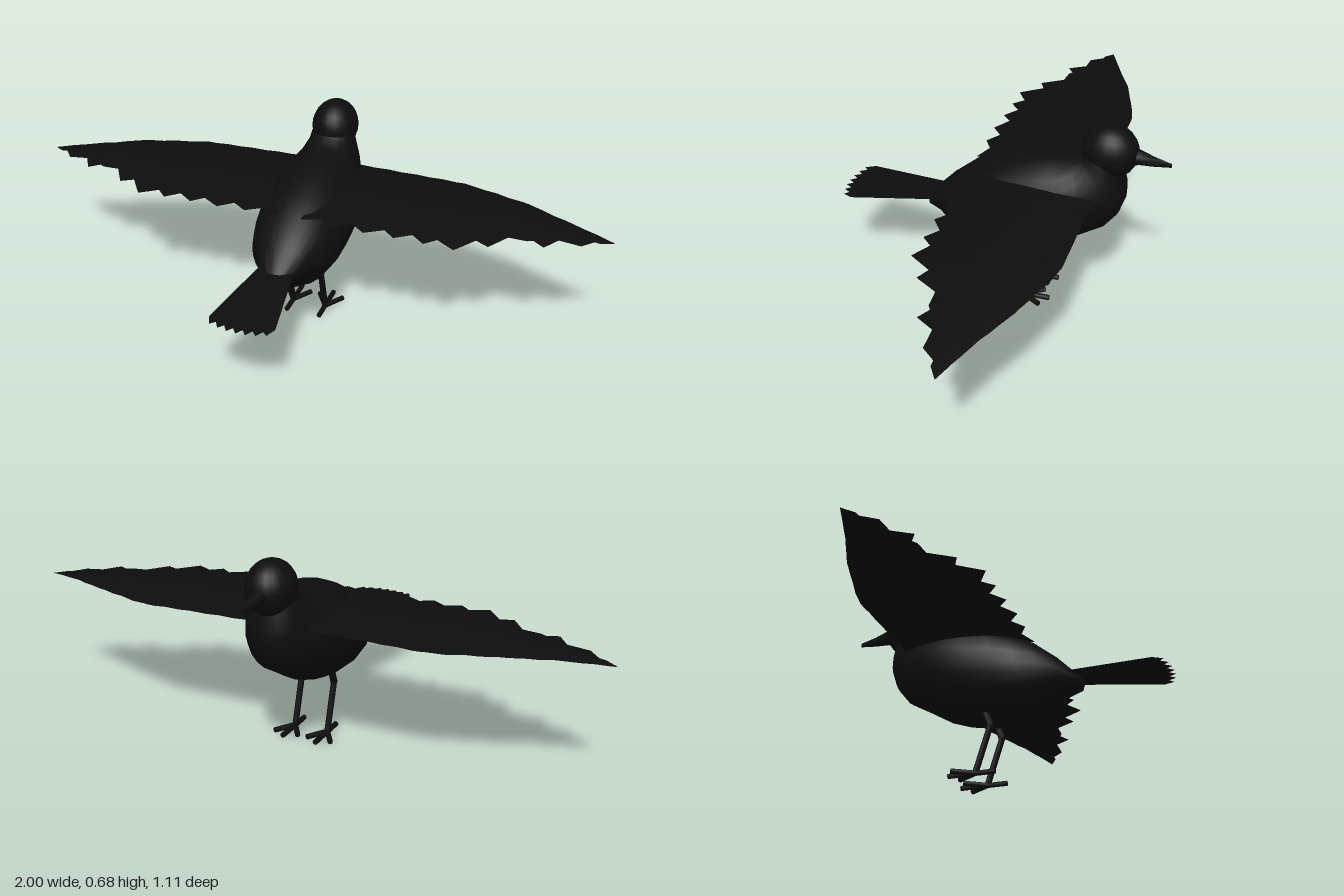
import * as THREE from 'three';
import { toCreasedNormals } from 'three/addons/utils/BufferGeometryUtils.js';

const plumage = new THREE.MeshStandardMaterial({ color: 0x0d0d0d });
plumage.name = 'black plumage';
const tailPlumage = plumage.clone();
tailPlumage.side = THREE.DoubleSide;

function part(name, geometry, material = plumage) {
  const mesh = new THREE.Mesh(geometry, material);
  mesh.name = name;
  return mesh;
}

// Skin between closed loops of [x, y, z] points
function loft(rings, crease) {
  const n = rings[0].length;
  const index = [];
  for (let i = 0; i < rings.length - 1; i++) {
    for (let j = 0; j < n; j++) {
      const k = (j + 1) % n;
      const a = i * n + j, b = i * n + k, c = a + n, d = b + n;
      index.push(a, b, c, b, d, c);
    }
  }
  const geo = new THREE.BufferGeometry();
  geo.setAttribute('position', new THREE.Float32BufferAttribute(rings.flat(2), 3));
  geo.setIndex(index);
  return toCreasedNormals(geo, crease);
}

// Slanted ellipse: top point (z, y), bottom point (z, y), half width
function ellipse([zt, yt, zb, yb, w], n = 24) {
  return Array.from({ length: n }, (_, j) => {
    const a = (j / n) * Math.PI * 2, c = Math.cos(a) / 2;
    return [w * Math.sin(a), (yt + yb) / 2 + (yt - yb) * c, (zt + zb) / 2 + (zt - zb) * c];
  });
}

// Piecewise linear lookup in [x, value] pairs
function lookup(points, x) {
  for (let i = 1; i < points.length; i++) {
    const [x0, v0] = points[i - 1], [x1, v1] = points[i];
    if (x <= x1) return v0 + ((v1 - v0) * (x - x0)) / (x1 - x0);
  }
  return points[points.length - 1][1];
}

// Straight round limb between two points
function bar(name, from, to, radius) {
  const a = new THREE.Vector3(...from), b = new THREE.Vector3(...to);
  const dir = b.clone().sub(a);
  const mesh = part(name, new THREE.CylinderGeometry(radius, radius, dir.length(), 8));
  mesh.position.copy(a).add(b).multiplyScalar(0.5);
  mesh.quaternion.setFromUnitVectors(new THREE.Vector3(0, 1, 0), dir.normalize());
  return mesh;
}

const bodyStations = [
  [0.26, 0.306, 0.26, 0.304, 0.001],
  [0.24, 0.328, 0.243, 0.28, 0.04],
  [0.17, 0.4, 0.198, 0.268, 0.08],
  [0.093, 0.462, 0.153, 0.226, 0.12],
  [0.018, 0.5, 0.093, 0.196, 0.142],
  [-0.057, 0.53, 0.018, 0.187, 0.154],
  [-0.147, 0.55, -0.066, 0.193, 0.157],
  [-0.18, 0.553, -0.147, 0.208, 0.155],
  [-0.207, 0.554, -0.215, 0.232, 0.148],
  [-0.225, 0.557, -0.296, 0.28, 0.135],
  [-0.24, 0.562, -0.36, 0.316, 0.12],
  [-0.25, 0.568, -0.4, 0.367, 0.106],
  [-0.262, 0.575, -0.42, 0.427, 0.094],
  [-0.27, 0.58, -0.42, 0.47, 0.085],
  [-0.28, 0.59, -0.407, 0.52, 0.078],
  [-0.3, 0.61, -0.4, 0.56, 0.068],
];

const beakStations = [
  [-0.42, 0.615, -0.42, 0.545, 0.036],
  [-0.455, 0.603, -0.455, 0.556, 0.025],
  [-0.5, 0.588, -0.5, 0.556, 0.014],
  [-0.556, 0.575, -0.556, 0.56, 0.002],
  [-0.557, 0.568, -0.557, 0.567, 0.0],
];

// Wing outline: leading edge, and trailing edge with feather tips
const leading = [[0, -0.337], [0.47, -0.335], [0.535, -0.32], [0.706, -0.267], [0.834, -0.21], [1, -0.145]];
const trailing = [
  [0.04, 0.1], [0.107, 0.075], [0.155, 0.103], [0.203, 0.07], [0.25, 0.107], [0.31, 0.07],
  [0.348, 0.103], [0.4, 0.066], [0.444, 0.102], [0.48, 0.066], [0.54, 0.103], [0.594, 0.027],
  [0.636, 0.048], [0.684, -0.027], [0.743, -0.03], [0.76, -0.04], [0.797, -0.016], [0.834, -0.075],
  [0.904, -0.075], [0.94, -0.118], [0.96, -0.118], [1, -0.144],
];

function wing(side) {
  const xs = [...new Set([...leading.slice(1), ...trailing].map(p => p[0]))].sort((a, b) => a - b);
  const rows = 8;
  const rings = xs.map(x => {
    const z0 = lookup(leading, x), z1 = lookup(trailing, x);
    const crest = 0.483 - 0.012 * x - 0.041 * x ** 4;
    const camber = 0.024 * (z1 - z0) / 0.44;
    const at = (v, depth) => {
      const s = 2 * v - 1;
      return [side * x, crest - camber * (1 - depth * (1 - s * s)), z0 + (z1 - z0) * v];
    };
    const ring = [];
    for (let j = 0; j <= rows; j++) ring.push(at(j / rows, 1));
    for (let j = rows - 1; j > 0; j--) ring.push(at(j / rows, 0.45));
    return ring;
  });
  if (side < 0) rings.reverse();
  return loft(rings, 0.5);
}

// Fan of tail feathers as one thin sheet, sloping down to the rear
function tail() {
  const shape = new THREE.Shape();
  shape.moveTo(-0.045, 0.13);
  shape.lineTo(-0.107, 0.5);
  const tips = 7, step = 0.214 / tips;
  for (let i = 0; i < tips; i++) {
    const x = -0.107 + step * i;
    const rear = 0.553 - 2.2 * (x + step / 2) ** 2;
    shape.lineTo(x + step / 2, rear);
    const notch = x + step;
    shape.lineTo(notch, i === tips - 1 ? 0.5 : 0.532 - 2 * notch * notch);
  }
  shape.lineTo(0.045, 0.13);
  const geo = new THREE.ShapeGeometry(shape).rotateX(Math.PI / 2);
  const p = geo.attributes.position;
  for (let i = 0; i < p.count; i++) p.setY(i, 0.342 - 0.067 * p.getZ(i));
  geo.computeVertexNormals();
  return geo;
}

function leg(side) {
  const group = new THREE.Group();
  group.name = side > 0 ? 'leftLeg' : 'rightLeg';
  const x = side * 0.06;
  const knee = [x, 0.17, -0.047], ankle = [x, 0.01, -0.097];
  group.add(bar('thigh', [x, 0.23, -0.07], knee, 0.012));
  group.add(bar('shin', knee, ankle, 0.011));
  const joint = part('knee', new THREE.SphereGeometry(0.012, 8, 6));
  joint.position.set(...knee);
  group.add(joint);
  // Three toes forward, one back
  for (const [dx, z] of [[-0.043, -0.165], [0, -0.19], [0.043, -0.165], [0, -0.03]]) {
    group.add(bar('toe', [x, 0.009, -0.097], [x + dx, 0.009, z], 0.009));
  }
  return group;
}

export function createModel() {
  const bird = new THREE.Group();
  bird.name = 'bird';
  bird.add(part('body', loft(bodyStations.map(s => ellipse(s)), 1.2)));

  const head = part('head', new THREE.SphereGeometry(1, 20, 14));
  head.scale.set(0.079, 0.09, 0.092);
  head.position.set(0, 0.588, -0.36);
  bird.add(head);

  bird.add(part('beak', loft(beakStations.map(s => ellipse(s, 12)), 1)));
  bird.add(part('tail', tail(), tailPlumage));
  for (const side of [1, -1]) {
    bird.add(part(side > 0 ? 'leftWing' : 'rightWing', wing(side)));
    bird.add(leg(side));
  }
  return bird;
}
